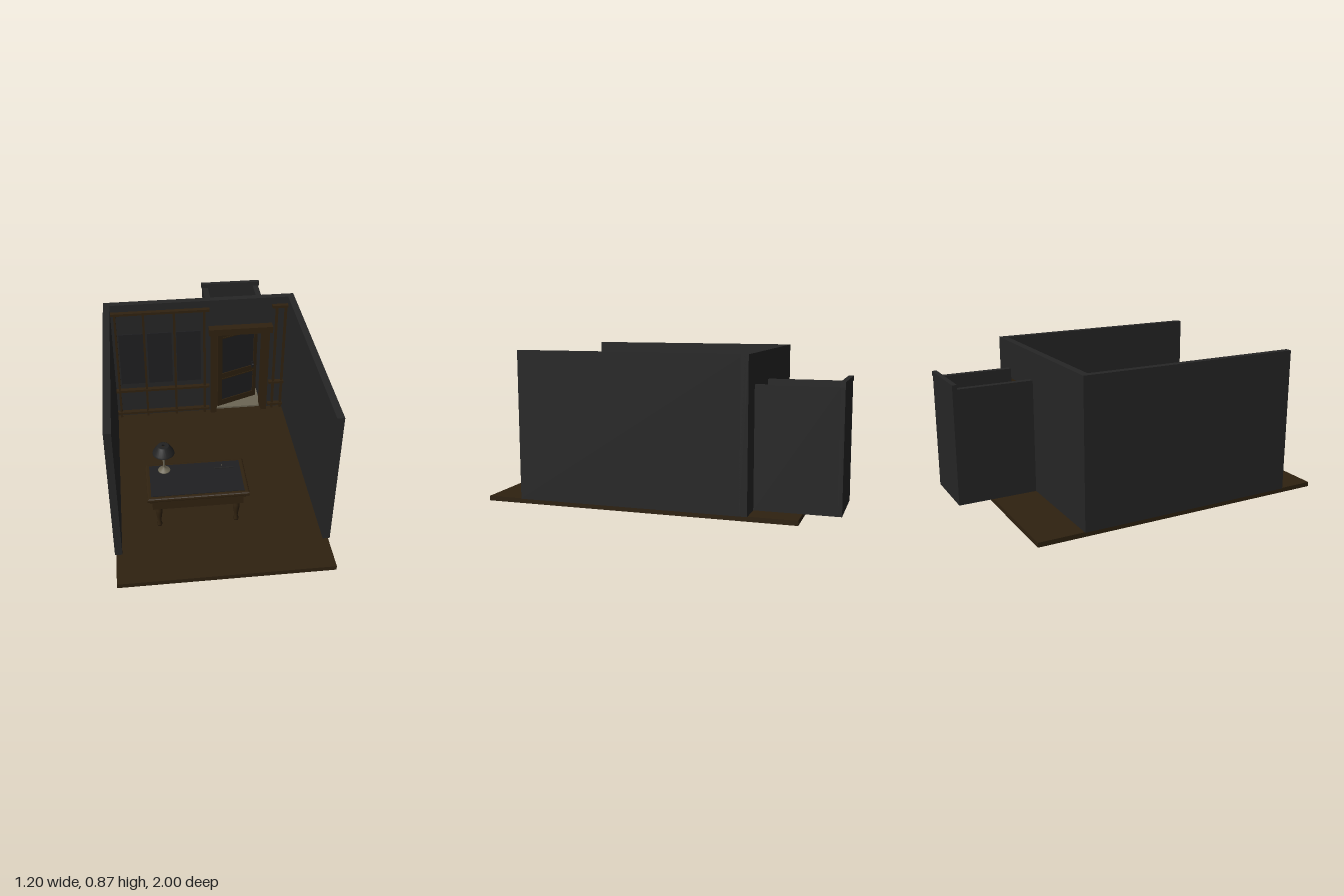
import * as THREE from 'three';

const mat = (name, color, side = THREE.FrontSide) => {
  const m = new THREE.MeshStandardMaterial({ color, side });
  m.name = name;
  return m;
};

export function createModel() {
  const root = new THREE.Group();
  root.name = 'officeRoom';
  const wall = mat('charcoalWall', 0x262626);
  const wood = mat('darkWood', 0x302210);
  const floorWood = mat('floorWood', 0x2e2110);
  const panel = mat('darkPanel', 0x1f1f21);
  const pale = mat('paleStone', 0x6c6654);
  const shadeMat = mat('lampShade', 0x222222, THREE.DoubleSide);

  const add = (name, geo, m, parent = root) => {
    const mesh = new THREE.Mesh(geo, m);
    mesh.name = name;
    parent.add(mesh);
    return mesh;
  };
  // Box from its extents on each axis
  const box = (name, m, x0, x1, y0, y1, z0, z1, parent = root) => {
    const mesh = add(name, new THREE.BoxGeometry(x1 - x0, y1 - y0, z1 - z0), m, parent);
    mesh.position.set((x0 + x1) / 2, (y0 + y1) / 2, (z0 + z1) / 2);
    return mesh;
  };
  const rect = (C, x0, x1, y0, y1) => new C([[x0, y0], [x1, y0], [x1, y1], [x0, y1]]
    .map(([x, y]) => new THREE.Vector2(x, y)));
  const group = (name, x = 0, y = 0, z = 0) => {
    const g = new THREE.Group();
    g.name = name;
    g.position.set(x, y, z);
    root.add(g);
    return g;
  };

  // Room shell
  const Y = 0.027, H = 0.872;
  box('floor', floorWood, -0.593, 0.59, 0, Y, -0.793, 1);
  box('leftWall', wall, 0.56, 0.6, Y, H, -0.51, 0.79);
  box('rightWall', wall, -0.6, -0.56, Y, H, -0.51, 0.79);
  const back = new THREE.Shape([
    [-0.6, Y], [0.105, Y], [0.105, 0.645], [0.415, 0.645], [0.415, Y], [0.6, Y], [0.6, H], [-0.6, H],
  ].map(([x, y]) => new THREE.Vector2(x, y)));
  add('backWall', new THREE.ExtrudeGeometry(back, { depth: 0.042, bevelEnabled: false }), wall)
    .position.z = -0.527;

  // Closet behind the door
  const closet = group('closet');
  box('closetFloor', pale, 0.105, 0.415, Y + 0.003, 0.042, -0.975, -0.485, closet);
  box('closetRightWall', wall, 0.068, 0.105, Y, 0.705, -0.975, -0.527, closet);
  box('closetLeftWall', wall, 0.415, 0.452, Y, 0.705, -0.975, -0.527, closet);
  box('closetBackWall', wall, 0.068, 0.452, Y, 0.705, -0.998, -0.975, closet);
  box('closetBackCap', wall, 0.06, 0.46, 0.705, 0.733, -1, -0.972, closet);

  // Door surround
  const surround = group('doorSurround');
  for (const [x0, x1] of [[0.068, 0.107], [0.412, 0.45]])
    box('doorCasing', wood, x0, x1, Y, 0.646, -0.485, -0.45, surround);
  box('doorHeader', wood, 0.055, 0.465, 0.646, 0.69, -0.485, -0.43, surround);
  box('doorJamb', wood, 0.105, 0.115, Y, 0.645, -0.527, -0.485, surround);
  box('doorJamb', wood, 0.405, 0.415, Y, 0.645, -0.527, -0.485, surround);
  box('doorHeadJamb', wood, 0.115, 0.405, 0.63, 0.645, -0.527, -0.485, surround);

  // Door standing ajar, hinged at its left edge as seen from the room
  const door = group('door', 0.116, 0, -0.503);
  door.rotation.y = 0.37;
  const frame = rect(THREE.Shape, 0, 0.297, 0.045, 0.626);
  frame.holes.push(rect(THREE.Path, 0.033, 0.272, 0.088, 0.257), rect(THREE.Path, 0.033, 0.272, 0.303, 0.578));
  add('doorFrame', new THREE.ExtrudeGeometry(frame, { depth: 0.02, bevelEnabled: false }), wood, door)
    .position.z = -0.01;
  box('upperDoorPanel', panel, 0.033, 0.272, 0.303, 0.578, -0.004, 0.004, door);
  box('lowerDoorPanel', panel, 0.033, 0.272, 0.088, 0.257, -0.004, 0.004, door);
  box('doorTrim', wood, 0.031, 0.274, 0.576, 0.584, 0.008, 0.014, door);
  box('doorLedge', wood, 0.031, 0.274, 0.257, 0.264, 0.008, 0.014, door);
  box('handlePlate', panel, 0.256, 0.272, 0.288, 0.336, 0.01, 0.016, door);
  const knob = add('doorKnob', new THREE.SphereGeometry(0.008, 12, 8), panel, door);
  knob.position.set(0.264, 0.315, 0.022);

  // Wooden lattice on the back wall
  const lattice = group('wallTrim');
  for (const [x0, x1, posts] of [
    [-0.56, 0.06, [-0.536, -0.358, -0.164, 0.028]],
    [0.46, 0.56, [0.491, 0.548]],
  ]) {
    for (const y of [0.06, 0.239, 0.817])
      box('wallRail', wood, x0, x1, y - 0.008, y + 0.008, -0.485, -0.457, lattice);
    for (const x of posts)
      box('wallPost', wood, x - 0.007, x + 0.007, Y, 0.817, -0.485, -0.462, lattice);
  }
  for (const x of [-0.442, -0.261, -0.074])
    box('wallPanel', panel, x - 0.078, x + 0.078, 0.287, 0.662, -0.485, -0.478, lattice);

  // Desk with rounded top edge, inset writing surface and turned legs
  const desk = group('desk');
  const top = rect(THREE.Shape, -0.394, 0.154, -0.624, -0.344);
  const topGeo = new THREE.ExtrudeGeometry(top, {
    depth: 0.008, bevelThickness: 0.009, bevelSize: 0.01, bevelSegments: 3,
  });
  topGeo.rotateX(-Math.PI / 2);
  add('deskTop', topGeo, wood, desk).position.y = 0.254;
  box('deskMoulding', wood, -0.39, 0.145, 0.232, 0.247, 0.345, 0.625, desk);
  box('deskApron', wood, -0.377, 0.132, 0.175, 0.234, 0.355, 0.612, desk);
  box('writingSurface', panel, -0.382, 0.138, 0.27, 0.274, 0.355, 0.612, desk);
  const leg = new THREE.LatheGeometry([
    [0, 0], [0.013, 0], [0.016, 0.012], [0.01, 0.03], [0.013, 0.06], [0.019, 0.1], [0.019, 0.122], [0.014, 0.135], [0.018, 0.15],
  ].map(([x, y]) => new THREE.Vector2(x, y)), 16);
  for (const x of [-0.342, 0.097])
    for (const z of [0.385, 0.582]) add('deskLeg', leg, wood, desk).position.set(x, Y, z);
  box('pen', wall, -0.012, 0.1, 0.274, 0.28, 0.413, 0.419, desk);
  box('penTip', pale, 0.032, 0.038, 0.274, 0.28, 0.389, 0.393, desk);

  // Table lamp
  const lamp = group('lamp', -0.297, 0.273, 0.395);
  add('lampStand', new THREE.LatheGeometry([
    [0, 0], [0.036, 0], [0.034, 0.005], [0.018, 0.012], [0.008, 0.022], [0.006, 0.03], [0.006, 0.14], [0, 0.14],
  ].map(([x, y]) => new THREE.Vector2(x, y)), 20), pale, lamp);
  add('lampShade', new THREE.LatheGeometry([
    [0.062, 0.128], [0.06, 0.138], [0.034, 0.179], [0.03, 0.181], [0.008, 0.181],
  ].map(([x, y]) => new THREE.Vector2(x, y)), 24), shadeMat, lamp);

  return root;
}
